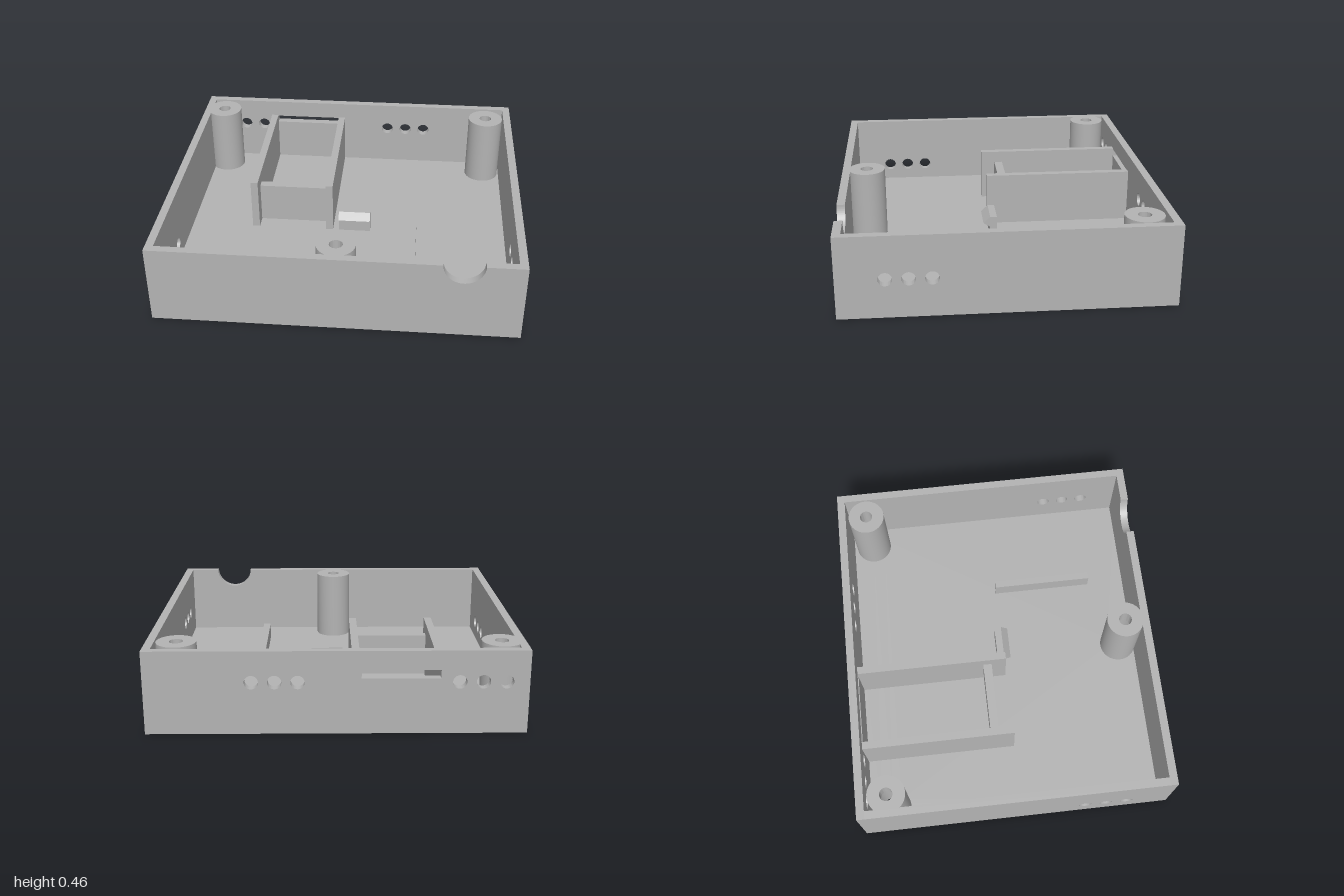
import * as THREE from 'three';
import { toCreasedNormals } from 'three/addons/utils/BufferGeometryUtils.js';

const W = 1, D = 0.89, H = 0.455, T = 0.045; // half width, half depth, height, wall thickness

export function createModel() {
  const group = new THREE.Group();
  const grey = new THREE.MeshStandardMaterial({ color: 0xb3b3b3 });
  grey.name = 'plastic grey';

  const add = (name, geometry, x = 0, y = 0, z = 0, turn = 0) => {
    const mesh = new THREE.Mesh(geometry, grey);
    mesh.name = name;
    mesh.position.set(x, y, z);
    mesh.rotation.y = turn;
    group.add(mesh);
    return mesh;
  };
  // box given by its limits
  const block = (name, x0, x1, y0, y1, z0, z1) =>
    add(name, new THREE.BoxGeometry(x1 - x0, y1 - y0, z1 - z0), (x0 + x1) / 2, (y0 + y1) / 2, (z0 + z1) / 2);
  const rect = (Kind, x0, x1, y0, y1) => {
    const s = new Kind();
    s.moveTo(x0, y0).lineTo(x1, y0).lineTo(x1, y1).lineTo(x0, y1).closePath();
    return s;
  };
  const round = (x, y, r) => {
    const p = new THREE.Path();
    p.absarc(x, y, r, 0, Math.PI * 2, true);
    return p;
  };
  const extrude = (shape, depth) => toCreasedNormals(
    new THREE.ExtrudeGeometry(shape, { depth, bevelEnabled: false, curveSegments: 32 }), 0.6);

  // floor with screw holes
  const posts = [[-0.875, -0.72], [0.84, -0.72], [0, 0.75]];
  const floor = rect(THREE.Shape, -W, W, -D, D);
  for (const [x, z] of posts) floor.holes.push(round(x, -z, 0.068));
  add('floor', extrude(floor, T).rotateX(-Math.PI / 2));

  // front wall with a half-round cable notch in the rim
  const front = new THREE.Shape();
  front.moveTo(-W, T).lineTo(W, T).lineTo(W, H).lineTo(0.785, H);
  front.absarc(0.675, H, 0.11, 0, Math.PI, true);
  front.lineTo(-W, H).closePath();
  add('frontWall', extrude(front, T), 0, 0, D - T);

  // back wall with vent holes and a card slot
  const back = rect(THREE.Shape, -W, W, T, H);
  for (const x of [-0.88, -0.76, -0.638, 0.2, 0.32, 0.44]) back.holes.push(round(x, 0.285, 0.037));
  back.holes.push(rect(THREE.Path, -0.54, -0.13, 0.305, 0.35));
  add('backWall', extrude(back, T), 0, 0, -D);

  // side walls, each with three vent holes
  for (const [name, x, y] of [['leftWall', W, 0.215], ['rightWall', -W + T, 0.145]]) {
    const side = rect(THREE.Shape, -D + T, D - T, T, H);
    for (const z of [0.395, 0.515, 0.635]) side.holes.push(round(z, y, 0.037));
    add(name, extrude(side, T), x, 0, 0, -Math.PI / 2);
  }

  // screw posts: narrow bore on top, wide counterbore from below
  const profile = [[0.107, T], [0.107, H], [0.037, H], [0.037, 0.35], [0.068, 0.35], [0.068, 0]]
    .map(([r, y]) => new THREE.Vector2(r, y));
  const post = toCreasedNormals(new THREE.LatheGeometry(profile, 40), 0.6);
  for (const [x, z] of posts) add('screwPost', post, x, 0, z);

  // board bay: two rails and a cross wall
  block('bayRail', -0.583, -0.54, T, 0.355, -D + T, 0.03);
  block('bayRail', -0.13, -0.087, T, 0.355, -D + T, 0.03);
  block('bayCrossWall', -0.54, -0.13, T, 0.285, -0.105, -0.055);

  // low rib
  block('rib', 0.422, 0.465, T, 0.14, 0.03, 0.62);

  // snap clip with a sloped hook
  const clip = new THREE.Shape([[-0.01, T], [0.03, T], [0.03, 0.115], [0.07, 0.14], [0.03, 0.178], [-0.01, 0.178]]
    .map(([z, y]) => new THREE.Vector2(z, y)));
  add('snapClip', extrude(clip, 0.19), 0.14, 0, 0, -Math.PI / 2);

  return group;
}
